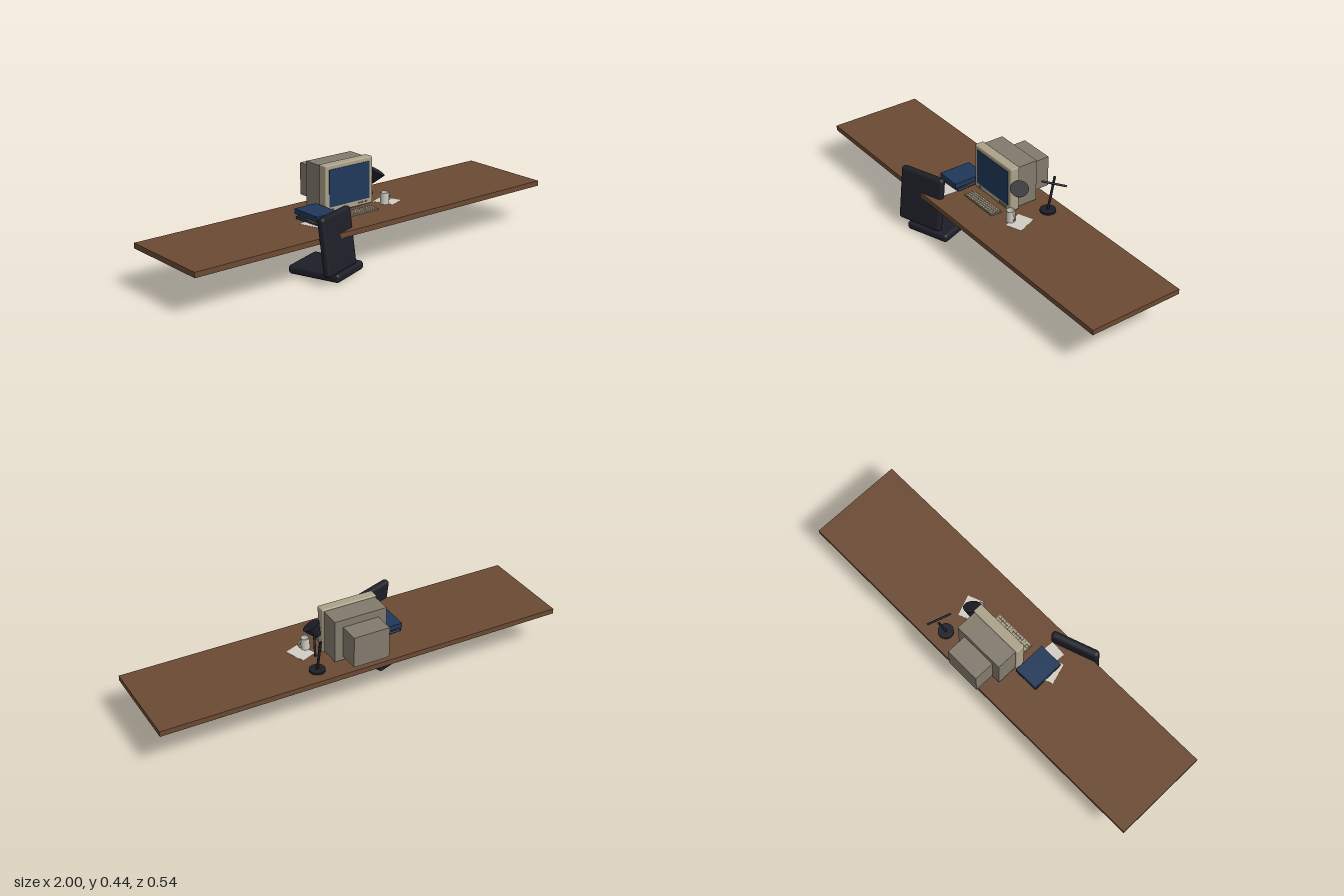
import * as THREE from 'three';
import { RoundedBoxGeometry } from 'three/addons/geometries/RoundedBoxGeometry.js';

const mat = (name, color) => {
  const m = new THREE.MeshStandardMaterial({ color });
  m.name = name;
  return m;
};

export function createModel() {
  const wood = mat('walnut wood', 0x6b4a33);
  const black = mat('dark upholstery', 0x1e1e28);
  const beige = mat('beige plastic', 0xaca28a);
  const grey = mat('grey housing', 0x827b6d);
  const navy = mat('navy', 0x20385a);
  const white = mat('white ceramic and paper', 0xd2cec4);
  const brown = mat('brown book cover', 0x7d5638);

  const model = new THREE.Group();
  model.name = 'deskScene';

  const add = (name, geo, material, x, y, z, parent = model) => {
    const mesh = new THREE.Mesh(geo, material);
    mesh.name = name;
    mesh.position.set(x, y, z);
    parent.add(mesh);
    return mesh;
  };
  const box = (name, w, h, d, material, x, y, z, parent) =>
    add(name, new THREE.BoxGeometry(w, h, d), material, x, y, z, parent);
  // Cylinder running between two points, r0 at the start and r1 at the end
  const rod = (name, a, b, r0, r1, material, sides = 20) => {
    const from = new THREE.Vector3(...a), to = new THREE.Vector3(...b);
    const dir = to.clone().sub(from);
    const mid = from.add(to).multiplyScalar(0.5);
    const mesh = add(name, new THREE.CylinderGeometry(r1, r0, dir.length(), sides), material, mid.x, mid.y, mid.z);
    mesh.quaternion.setFromUnitVectors(new THREE.Vector3(0, 1, 0), dir.normalize());
    return mesh;
  };

  // Desk top
  box('deskTop', 2, 0.025, 0.466, wood, 0, 0.1975, -0.018);

  // Chair: seat cushion and leaning back cushion
  const seat = add('chairSeat', new RoundedBoxGeometry(0.225, 0.042, 0.262, 4, 0.016), black, -0.236, 0.021, 0.102);
  seat.rotation.y = 0.35;
  const back = add('chairBack', new RoundedBoxGeometry(0.234, 0.27, 0.037, 4, 0.016), black, -0.254, 0.172, 0.2025);
  back.rotation.set(-0.127, 0.34, 0, 'YXZ');

  // Monitor
  const monitor = new THREE.Group();
  monitor.name = 'monitor';
  monitor.position.x = -0.003;
  model.add(monitor);
  add('bezel', new RoundedBoxGeometry(0.276, 0.224, 0.048, 3, 0.006), beige, 0, 0.329, -0.042, monitor);
  box('screen', 0.234, 0.176, 0.004, navy, 0, 0.333, -0.017, monitor);
  box('housingMiddle', 0.26, 0.208, 0.102, grey, 0, 0.329, -0.117, monitor);
  box('housingRear', 0.178, 0.153, 0.1, grey, 0, 0.3195, -0.218, monitor);
  box('monitorFoot', 0.18, 0.016, 0.11, grey, 0, 0.218, -0.09, monitor);
  for (const x of [-0.095, 0.06, 0.08, 0.1])
    box('monitorButton', 0.012, 0.007, 0.005, grey, x, 0.232, -0.017, monitor);

  // Keyboard with rows of keys
  const keyboard = new THREE.Group();
  keyboard.name = 'keyboard';
  keyboard.position.set(-0.003, 0.21, 0.037);
  model.add(keyboard);
  box('keyboardBody', 0.21, 0.006, 0.055, grey, 0, 0.003, 0, keyboard);
  for (let row = 0; row < 4; row++)
    for (let col = 0; col < 14; col++)
      box('key', 0.0125, 0.005, 0.0105, beige, (col - 6.5) * 0.0144, 0.0075, (row - 1.5) * 0.0128, keyboard);

  // Stack of books: covers around an inset page block
  const book = (name, w, h, d, cover, x, y, z, turn) => {
    const g = new THREE.Group();
    g.name = name;
    g.position.set(x, y, z);
    g.rotation.y = turn;
    model.add(g);
    const t = h * 0.25;
    box('lowerCover', w, t, d, cover, 0, t / 2, 0, g);
    box('upperCover', w, t, d, cover, 0, h - t / 2, 0, g);
    box('pages', w - 0.008, h - 2 * t, d - 0.008, white, 0, h / 2, 0, g);
    box('spine', 0.005, h, d, cover, -w / 2 + 0.0025, h / 2, 0, g);
  };
  book('bottomBook', 0.112, 0.012, 0.145, navy, -0.211, 0.2105, 0.001, 0.06);
  book('middleBook', 0.108, 0.011, 0.14, brown, -0.211, 0.2215, 0.005, -0.05);
  box('topBook', 0.122, 0.025, 0.162, navy, -0.211, 0.2445, 0.004);

  // Loose paper sheets: x, z, turn
  [[-0.25, 0.042, 0.3], [-0.197, 0.09, -0.08], [0.217, -0.008, 0.37]].forEach(([x, z, turn], i) => {
    box('paperSheet', 0.08, 0.001, 0.105, white, x, 0.2108 + i * 0.0002, z).rotation.y = turn;
  });

  // Mug with a hollow cup and a side handle
  const cup = [[0, 0], [0.021, 0], [0.021, 0.056], [0.0185, 0.056], [0.0185, 0.005], [0, 0.005]];
  // Each profile section is its own lathe, keeping the rims sharp
  for (let i = 0; i < cup.length - 1; i++)
    add('mugWall', new THREE.LatheGeometry([cup[i], cup[i + 1]].map(p => new THREE.Vector2(...p)), 28),
      white, 0.181, 0.2115, 0.016);
  const handle = add('mugHandle', new THREE.TorusGeometry(0.015, 0.0038, 8, 16, Math.PI), white, 0.201, 0.239, 0.016);
  handle.rotation.z = -Math.PI / 2;

  // Desk lamp: base, leaning post, cross arm and shade
  add('lampBase', new THREE.CylinderGeometry(0.037, 0.037, 0.01, 28), black, 0.216, 0.215, -0.168);
  rod('lampPost', [0.216, 0.215, -0.167], [0.216, 0.38, -0.202], 0.006, 0.006, black, 12);
  rod('lampArm', [0.212, 0.379, -0.133], [0.26, 0.34, -0.235], 0.005, 0.005, black, 12);
  rod('lampShade', [0.151, 0.306, -0.052], [0.176, 0.358, -0.035], 0.014, 0.042, black, 28);

  return model;
}
